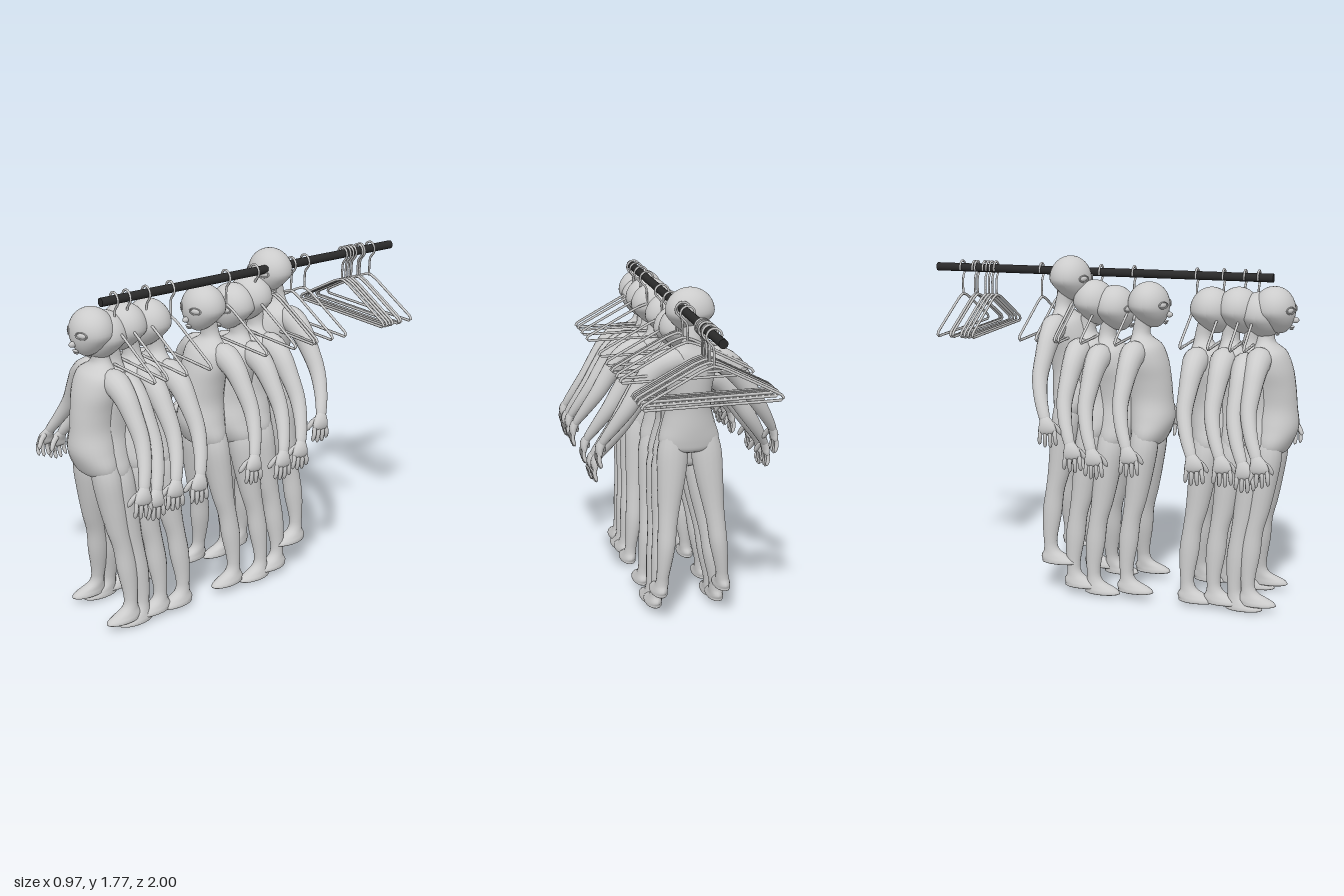
import * as THREE from 'three';

const grey = new THREE.MeshStandardMaterial({ color: 0xcccccc });
const dark = new THREE.MeshStandardMaterial({ color: 0x2a2a2a });
const V = (x, y, z) => new THREE.Vector3(x, y, z);

function mesh(name, geometry, material = grey) {
  const m = new THREE.Mesh(geometry, material);
  m.name = name;
  return m;
}

// Smooth skin through elliptical sections [x, y, z, ra, rb]; ra lies along ref.
// With flat = true all rings stay horizontal (sections run downwards).
function sweep(sections, ref, { rings = 24, sides = 16, flat = false } = {}) {
  const path = new THREE.CatmullRomCurve3(sections.map(s => V(s[0], s[1], s[2])));
  const radii = new THREE.CatmullRomCurve3(sections.map(s => V(s[3], s[4], 0)), false, 'catmullrom', 0.5);
  const pos = [], idx = [];
  for (let i = 0; i <= rings; i++) {
    const t = i / rings, c = path.getPoint(t), r = radii.getPoint(t);
    const T = flat ? V(0, -1, 0) : path.getTangent(t);
    const N = ref.clone().addScaledVector(T, -ref.dot(T)).normalize();
    const B = T.clone().cross(N);
    for (let j = 0; j < sides; j++) {
      const a = j / sides * Math.PI * 2;
      const p = c.clone().addScaledVector(N, Math.max(r.x, 0) * Math.cos(a))
        .addScaledVector(B, Math.max(r.y, 0) * Math.sin(a));
      pos.push(p.x, p.y, p.z);
      if (i < rings) {
        const k = (j + 1) % sides, o = i * sides;
        idx.push(o + j, o + k, o + sides + k, o + j, o + sides + k, o + sides + j);
      }
    }
  }
  const g = new THREE.BufferGeometry();
  g.setAttribute('position', new THREE.Float32BufferAttribute(pos, 3));
  g.setIndex(idx);
  g.computeVertexNormals();
  return g;
}

// Round skull whose lower half tapers to a forward chin
function headGeometry() {
  const g = new THREE.SphereGeometry(1, 32, 24), p = g.attributes.position;
  for (let i = 0; i < p.count; i++) {
    const x = p.getX(i), y = p.getY(i), z = p.getZ(i);
    const low = Math.max(0, -y - 0.1);
    p.setXYZ(i, x * 0.125 * (1 - 0.4 * low), 1.54 + y * 0.117,
      0.092 + z * 0.108 * (1 - 0.25 * low) + 0.035 * low);
  }
  g.computeVertexNormals();
  return g;
}

function blob(name, [x, y, z], [sx, sy, sz], turn = 0) {
  const m = mesh(name, new THREE.SphereGeometry(1, 14, 10));
  m.position.set(x, y, z);
  m.scale.set(sx, sy, sz);
  m.rotation.y = turn;
  return m;
}

// One limb set for side s (+1 left, -1 right)
function addSide(g, s) {
  const X = V(1, 0, 0), Z = V(0, 0, 1), side = s > 0 ? 'left' : 'right';
  const flip = list => list.map(([x, ...rest]) => [x * s, ...rest]);
  const add = (name, list, ref, opt) => g.add(mesh(side + name, sweep(flip(list), ref, opt)));

  add('Leg', [
    [.08, .94, .1, .05, .06], [.088, .82, .095, .08, .075], [.1, .68, .08, .075, .07],
    [.118, .52, .06, .058, .058], [.13, .42, .042, .05, .05], [.142, .3, .03, .047, .052],
    [.16, .15, .025, .033, .036], [.165, .1, .035, .035, .045], [.17, .07, .06, .04, .083],
    [.172, .05, .078, .045, .095], [.172, .036, .078, .04, .087], [.172, .032, .078, 0, 0],
  ], X, { rings: 44, flat: true });

  add('Arm', [
    [.05, 1.3, .045, .05, .05], [.12, 1.3, .045, .065, .065], [.2, 1.255, .045, .056, .062],
    [.27, 1.17, .042, .047, .05], [.335, 1.07, .042, .04, .042], [.4, .97, .07, .034, .032],
    [.447, .89, .105, .028, .022], [.455, .87, .11, .02, .015],
  ], Z, { rings: 28 });

  add('Palm', [
    [.435, .91, .095, .018, .014], [.452, .88, .11, .03, .021], [.464, .85, .122, .044, .021],
    [.466, .82, .128, .046, .015], [.465, .805, .13, 0, 0],
  ], Z, { rings: 12, sides: 12 });

  // Four slightly curled fingers
  for (let k = 0; k < 4; k++) {
    const z = .092 + k * .024, tip = .752 - (k === 1 || k === 2 ? .012 : 0);
    add('Finger', [
      [.466, .83, z, .011, .011], [.472, .795, z - .003 + k * .003, .011, .011],
      [.464, tip + .012, z - .008 + k * .005, .009, .009], [.46, tip, z - .01 + k * .005, 0, 0],
    ], Z, { rings: 9, sides: 8 });
  }
  add('Thumb', [
    [.455, .875, .125, .014, .014], [.443, .85, .16, .014, .014],
    [.43, .815, .182, .011, .011], [.426, .8, .186, 0, 0],
  ], X, { rings: 9, sides: 8 });

  // Eye with a raised almond lid
  g.add(blob(side + 'Eye', [s * .06, 1.545, .181], [.026, .014, .011], s * .5));
  const lid = mesh(side + 'Eyelid', new THREE.TorusGeometry(1, .15, 8, 24));
  lid.position.set(s * .06, 1.545, .186);
  lid.rotation.y = s * .5;
  lid.scale.set(.03, .017, .025);
  g.add(lid);
}

// Figure, placed so its hanger plane is z = 0
function figure() {
  const g = new THREE.Group();
  g.name = 'mannequin';
  g.add(mesh('torso', sweep([
    [0, 1.48, .07, .045, .045], [0, 1.415, .055, .045, .045], [0, 1.375, .055, .065, .052],
    [0, 1.33, .075, .125, .085], [0, 1.25, .088, .135, .108], [0, 1.15, .1, .118, .115],
    [0, 1.05, .11, .113, .115], [0, .95, .117, .138, .118], [0, .87, .108, .158, .1],
    [0, .82, .1, .13, .075], [0, .79, .098, 0, 0],
  ], V(1, 0, 0), { rings: 44, sides: 28, flat: true })));
  g.add(mesh('head', headGeometry()));
  g.add(blob('nose', [0, 1.492, .2], [.013, .015, .02]));
  g.add(blob('upperLip', [0, 1.457, .186], [.023, .006, .01]));
  g.add(blob('lowerLip', [0, 1.447, .182], [.018, .006, .01]));
  for (const s of [1, -1]) addSide(g, s);
  return g;
}

// Wire triangle with a hook curling over the rail
function hanger() {
  const g = new THREE.Group();
  g.name = 'hanger';
  const frame = [[-.325, 1.365], [.325, 1.365], [.338, 1.375], [.325, 1.392], [.06, 1.53],
    [0, 1.55], [-.06, 1.53], [-.325, 1.392], [-.338, 1.375]].map(([x, y]) => V(x, y, 0));
  g.add(mesh('hangerFrame', new THREE.TubeGeometry(
    new THREE.CatmullRomCurve3(frame, true, 'catmullrom', .1), 72, .007, 6, true)));
  const hook = [V(0, 1.54, 0), V(0, 1.6, 0), V(.005, 1.64, 0)];
  for (let a = -50; a <= 200; a += 25) {
    const t = a * Math.PI / 180;
    hook.push(V(.036 * Math.cos(t), 1.69 + .036 * Math.sin(t), 0));
  }
  g.add(mesh('hangerHook', new THREE.TubeGeometry(new THREE.CatmullRomCurve3(hook), 36, .006, 6)));
  return g;
}

export function createModel() {
  const model = new THREE.Group();
  model.name = 'mannequinRail';

  // Rail
  const rail = mesh('rail', new THREE.CylinderGeometry(.022, .022, 1.84, 20), dark);
  rail.rotation.x = Math.PI / 2;
  rail.position.set(.06, 1.69, -.08);
  model.add(rail);

  // Mannequins: [z of hanger, lift]
  const body = figure();
  for (const [z, lift] of [[.765, 0], [.695, -.03], [.585, -.01], [.445, -.015],
    [.115, 0], [-.068, -.025], [-.18, 0], [-.31, .12]]) {
    const m = body.clone();
    m.position.set(0, lift, z);
    model.add(m);
  }

  // Hangers, used and empty
  const wire = hanger();
  for (const z of [.765, .695, .585, .445, .11, -.07, -.19, -.21, -.31, -.4,
    -.66, -.685, -.705, -.725, -.77, -.785, -.855]) {
    const h = wire.clone();
    h.position.set(.06, 0, z);
    model.add(h);
  }
  return model;
}
